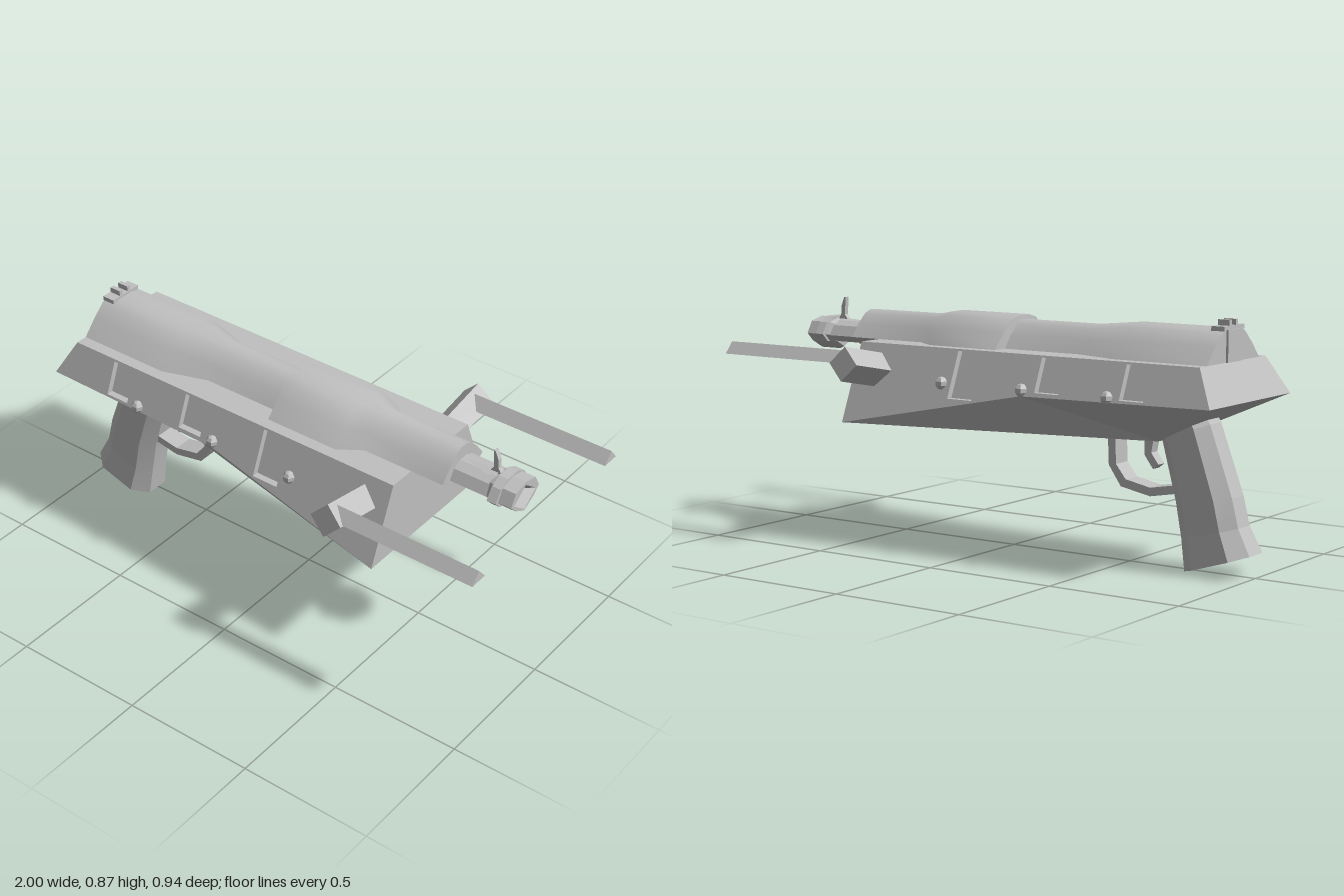
import * as THREE from 'three';
import { toCreasedNormals } from 'three/addons/utils/BufferGeometryUtils.js';

const metal = new THREE.MeshStandardMaterial({ color: 0xc0c0c0, side: THREE.DoubleSide });
metal.name = 'grey metal';

function add(parent, name, geometry) {
  const mesh = new THREE.Mesh(geometry, metal);
  mesh.name = name;
  parent.add(mesh);
  return mesh;
}

function box(parent, name, size, position) {
  const mesh = add(parent, name, new THREE.BoxGeometry(...size));
  mesh.position.set(...position);
  return mesh;
}

// Flat-shaded faces from convex corner loops
function faces(loops) {
  const out = [];
  for (const loop of loops)
    for (let k = 1; k < loop.length - 1; k++) out.push(...loop[0], ...loop[k], ...loop[k + 1]);
  const g = new THREE.BufferGeometry();
  g.setAttribute('position', new THREE.Float32BufferAttribute(out, 3));
  g.computeVertexNormals();
  return g;
}

// Skin through rings of equal point count, closed at both ends
function loft(rings, crease = 0.1) {
  const n = rings[0].length;
  const loops = [[...rings[0]].reverse(), rings[rings.length - 1]];
  for (let i = 0; i < rings.length - 1; i++)
    for (let j = 0; j < n; j++) {
      const k = (j + 1) % n;
      loops.push([rings[i][j], rings[i][k], rings[i + 1][k], rings[i + 1][j]]);
    }
  return toCreasedNormals(faces(loops), crease);
}

// Symmetric ring at x from half-profile points [halfWidth, y], bottom to top
function ring(x, half) {
  const right = half.map(([w, y]) => [x, y, -w]);
  const left = half.filter(([w]) => w > 0).reverse().map(([w, y]) => [x, y, w]);
  return [...right, ...left];
}

function plate(points, depth) {
  const g = new THREE.ExtrudeGeometry(new THREE.Shape(points.map(p => new THREE.Vector2(...p))),
    { depth, bevelEnabled: false });
  return g.translate(0, 0, -depth / 2);
}

// Side wall plane of the hull
const wallZ = y => 0.222 + 0.41 * (0.73 - y);
const WINDOWS = [[-0.715, -0.62, 0.605], [-0.375, -0.275, 0.605], [-0.02, 0.085, 0.56]];

function hullHalf() {
  const half = new THREE.Group();
  const at = (x, y, z = wallZ(y)) => [x, y, z];
  const mid = p => [p[0], p[1], 0];
  const topRear = at(-0.9, 0.73), topFront = at(0.53, 0.73), ridgeRear = at(-0.97, 0.6);
  const ridgeMid = at(-0.22, 0.59), front = at(0.53, 0.445), keel = at(-0.65, 0.445, 0.07);
  add(half, 'hullShell', faces([
    [topRear, topFront, mid(topFront), mid(topRear)],
    [front, mid(front), mid(topFront), topFront],
    [mid(topRear), mid(ridgeRear), ridgeRear, topRear],
    [mid(ridgeRear), mid(keel), keel, ridgeRear],
    [mid(keel), mid(front), front, keel],
    [ridgeRear, keel, ridgeMid],
    [ridgeMid, keel, front],
  ]));

  // Sloping side wall with recessed windows
  const depth = 0.025;
  const outline = [ridgeRear, ridgeMid, front, topFront, topRear].map(p => new THREE.Vector2(p[0], p[1]));
  const shape = new THREE.Shape(outline);
  const floors = [];
  for (const [x0, x1, y0] of WINDOWS) {
    const y1 = 0.723;
    shape.holes.push(new THREE.Path([[x0, y0], [x0, y1], [x1, y1], [x1, y0]].map(p => new THREE.Vector2(...p))));
    floors.push([[x0, y0], [x1, y0], [x1, y1], [x0, y1]].map(([x, y]) => [x, y, wallZ(y) - depth]));
  }
  const wall = new THREE.ExtrudeGeometry(shape, { depth, bevelEnabled: false });
  const p = wall.attributes.position;
  for (let i = 0; i < p.count; i++) p.setZ(i, p.getZ(i) - depth + wallZ(p.getY(i)));
  wall.computeVertexNormals();
  add(half, 'sideWall', wall);
  add(half, 'windowFloors', faces(floors));

  // Bolts along the wall
  for (const x of [-0.57, -0.22, 0.125]) {
    const bolt = add(half, 'bolt', toCreasedNormals(new THREE.SphereGeometry(0.024, 6, 5), 0.1));
    bolt.position.set(x, 0.61, wallZ(0.61));
  }

  // Tilted square strut carrying a three-sided rod
  const strut = new THREE.Group();
  strut.name = 'strut';
  strut.position.set(0.423, 0.651, 0.329);
  strut.rotation.x = -0.19;
  box(strut, 'strutBlock', [0.088, 0.088, 0.26], [0, 0, 0]).rotation.z = Math.PI / 4;
  half.add(strut);
  const rodRing = x => [[x, 0.675, 0.37], [x, 0.718, 0.407], [x, 0.675, 0.443]];
  add(half, 'sideRod', loft([rodRing(0.42), rodRing(1)]));
  return half;
}

export function createModel() {
  const model = new THREE.Group();
  model.name = 'blaster';
  const gun = new THREE.Group();
  gun.name = 'gun';
  gun.position.z = 0.005;
  model.add(gun);

  // Hull, mirrored
  for (const side of [1, -1]) {
    const half = hullHalf();
    half.name = side > 0 ? 'leftHull' : 'rightHull';
    half.scale.z = side;
    gun.add(half);
  }

  // Upper slide with two swollen sections
  const wide = [[0, 0.655], [0.177, 0.73], [0.122, 0.788], [0.075, 0.83], [0.03, 0.842]];
  const slim = [[0, 0.655], [0.12, 0.73], [0.083, 0.777], [0.045, 0.813], [0.015, 0.826]];
  const slide = [[-0.9, wide], [-0.53, wide], [-0.36, slim], [-0.042, slim], [-0.04, wide],
    [0.25, wide], [0.335, slim], [0.66, slim]];
  add(gun, 'slide', loft(slide.map(([x, s]) => ring(x, s)), 0.6));

  // Barrel and muzzle with a pyramid-shaped bore
  const barrel = [[0.04, 0.7], [0.078, 0.725], [0.055, 0.762], [0.02, 0.778]];
  add(gun, 'barrel', loft([ring(0.64, barrel), ring(0.83, barrel)]));
  const oct = s => [[0, 0.728 - 0.06 * s], [0.055 * s, 0.728 - 0.03 * s], [0.085 * s, 0.728],
    [0.06 * s, 0.728 + 0.045 * s], [0, 0.728 + 0.06 * s]];
  const bore = s => [[0, 0.725 - 0.05 * s], [0.033 * s, 0.725 - 0.025 * s], [0.066 * s, 0.725],
    [0.033 * s, 0.725 + 0.025 * s], [0, 0.725 + 0.05 * s]];
  add(gun, 'muzzle', loft([ring(0.8, oct(0.85)), ring(0.82, oct(1)), ring(0.91, oct(1)),
    ring(0.91, bore(1)), ring(0.84, bore(0.02))]));
  const collar = [[0.07, 0.7], [0.1, 0.73], [0.07, 0.772], [0.03, 0.793]];
  add(gun, 'muzzleCollar', loft([ring(0.822, collar), ring(0.858, collar)]));

  // Front sight
  add(gun, 'frontSight', plate([[0.765, 0.77], [0.825, 0.77], [0.806, 0.8], [0.803, 0.835], [0.79, 0.866],
    [0.783, 0.866], [0.788, 0.8]], 0.018));
  add(gun, 'frontSightBase', faces([
    [[0.67, 0.779, 0], [0.78, 0.779, 0.035], [0.82, 0.786, 0]],
    [[0.67, 0.779, 0], [0.82, 0.786, 0], [0.78, 0.779, -0.035]],
  ]));

  // Rear sight
  box(gun, 'rearSightPlate', [0.05, 0.016, 0.136], [-0.877, 0.844, 0]);
  box(gun, 'rearSightStrip', [0.012, 0.11, 0.1], [-0.902, 0.785, 0]);
  for (const z of [-0.021, 0.021])
    box(gun, 'rearSightPost', [0.045, 0.026, 0.016], [-0.877, 0.859, z]);

  // Grip, an eight-sided loft from top to bottom
  const levels = [ // back x, y, front x, y, half width
    [-0.8, 0.57, -0.62, 0.51, 0.076],
    [-0.835, 0.515, -0.648, 0.445, 0.078],
    [-0.925, 0.27, -0.705, 0.24, 0.083],
    [-0.95, 0.17, -0.728, 0.115, 0.082],
    [-0.998, 0.08, -0.745, 0.0, 0.094],
  ];
  const corners = [[0, -0.48], [0.22, -1], [0.78, -1], [1, -0.48], [1, 0.48], [0.78, 1], [0.22, 1], [0, 0.48]];
  add(gun, 'grip', loft(levels.map(([bx, by, fx, fy, w]) =>
    corners.map(([t, s]) => [bx + (fx - bx) * t, by + (fy - by) * t, s * w]))));

  // Trigger and guard
  add(gun, 'triggerGuard', plate([[-0.425, 0.46], [-0.43, 0.34], [-0.48, 0.268], [-0.6, 0.245], [-0.71, 0.265],
    [-0.71, 0.295], [-0.6, 0.275], [-0.5, 0.295], [-0.46, 0.345], [-0.455, 0.46]], 0.076));
  add(gun, 'trigger', plate([[-0.605, 0.46], [-0.565, 0.46], [-0.565, 0.385], [-0.6, 0.338], [-0.622, 0.355],
    [-0.592, 0.395]], 0.04));

  return model;
}
